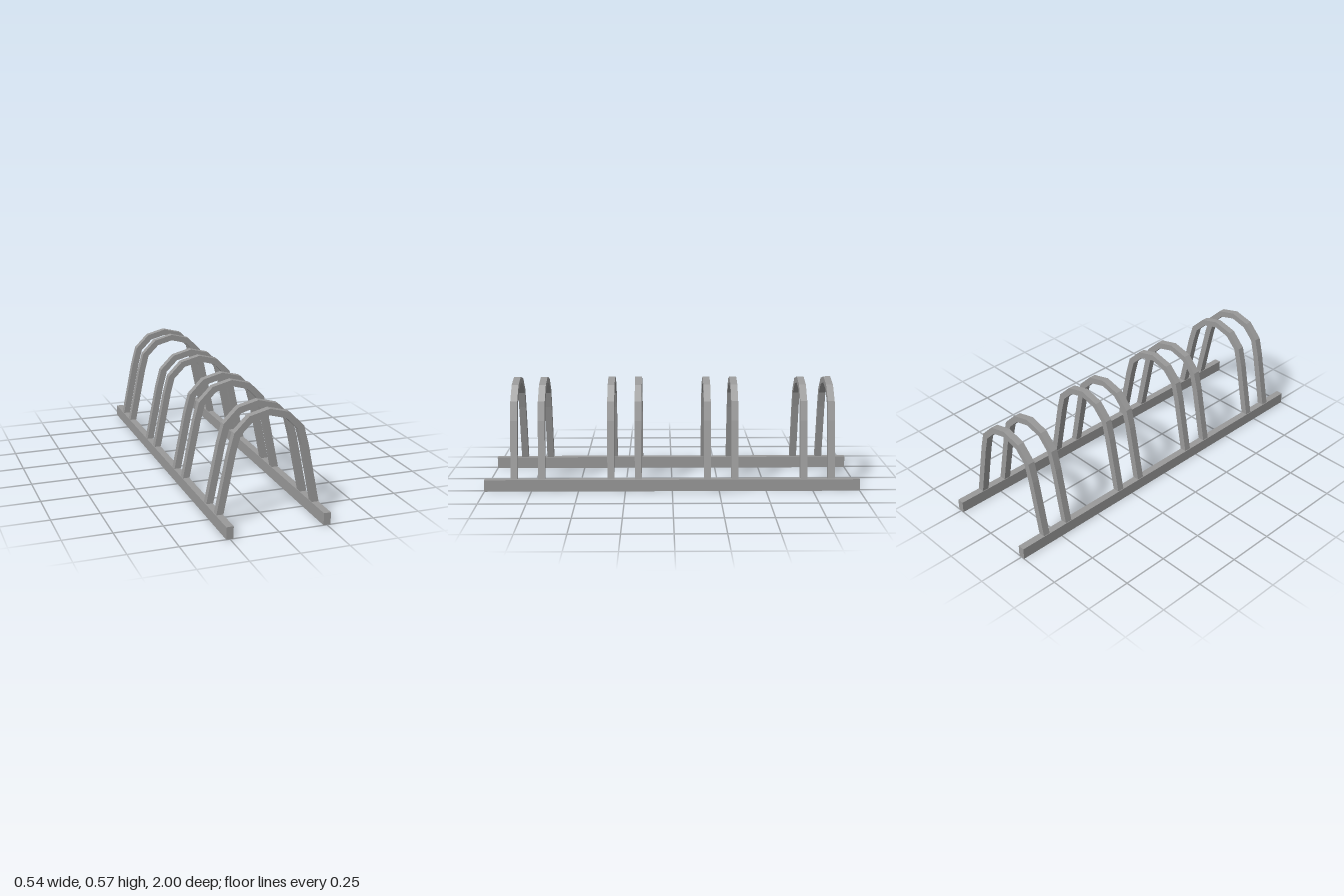
import * as THREE from 'three';

export function createModel() {
  const model = new THREE.Group();
  model.name = 'bikeRack';
  const steel = new THREE.MeshStandardMaterial({ color: 0x999999 });
  steel.name = 'grey steel';

  // Ground rails
  for (const side of [1, -1]) {
    const rail = new THREE.Mesh(new THREE.BoxGeometry(0.037, 0.063, 2), steel);
    rail.name = side > 0 ? 'leftRail' : 'rightRail';
    rail.position.set(side * 0.2505, 0.0315, 0);
    model.add(rail);
  }

  // Faceted hoop outline: half profiles mirrored across x = 0
  const outer = [[0.268, 0.066], [0.206, 0.37], [0.179, 0.47], [0.104, 0.546]];
  const inner = [[0.232, 0.066], [0.17, 0.37], [0.147, 0.456], [0.086, 0.517]];
  const mirror = (half, top) => [
    ...half, [0, top], ...half.map(([x, y]) => [-x, y]).reverse(),
  ];
  const outline = [...mirror(outer, 0.573), ...mirror(inner, 0.54).reverse()];
  const shape = new THREE.Shape(outline.map(([x, y]) => new THREE.Vector2(x, y)));
  const width = 0.037;
  const hoopGeometry = new THREE.ExtrudeGeometry(shape, { depth: width, bevelEnabled: false });
  hoopGeometry.translate(0, 0, -width / 2);

  // Four wheel slots, each a pair of hoops
  for (let i = 0; i < 4; i++) {
    const slot = new THREE.Group();
    slot.name = `wheelSlot${i + 1}`;
    slot.position.z = 0.768 - i * 0.514;
    for (const side of [1, -1]) {
      const hoop = new THREE.Mesh(hoopGeometry, steel);
      hoop.name = side > 0 ? 'frontHoop' : 'backHoop';
      hoop.position.z = side * 0.073;
      slot.add(hoop);
    }
    model.add(slot);
  }
  return model;
}
